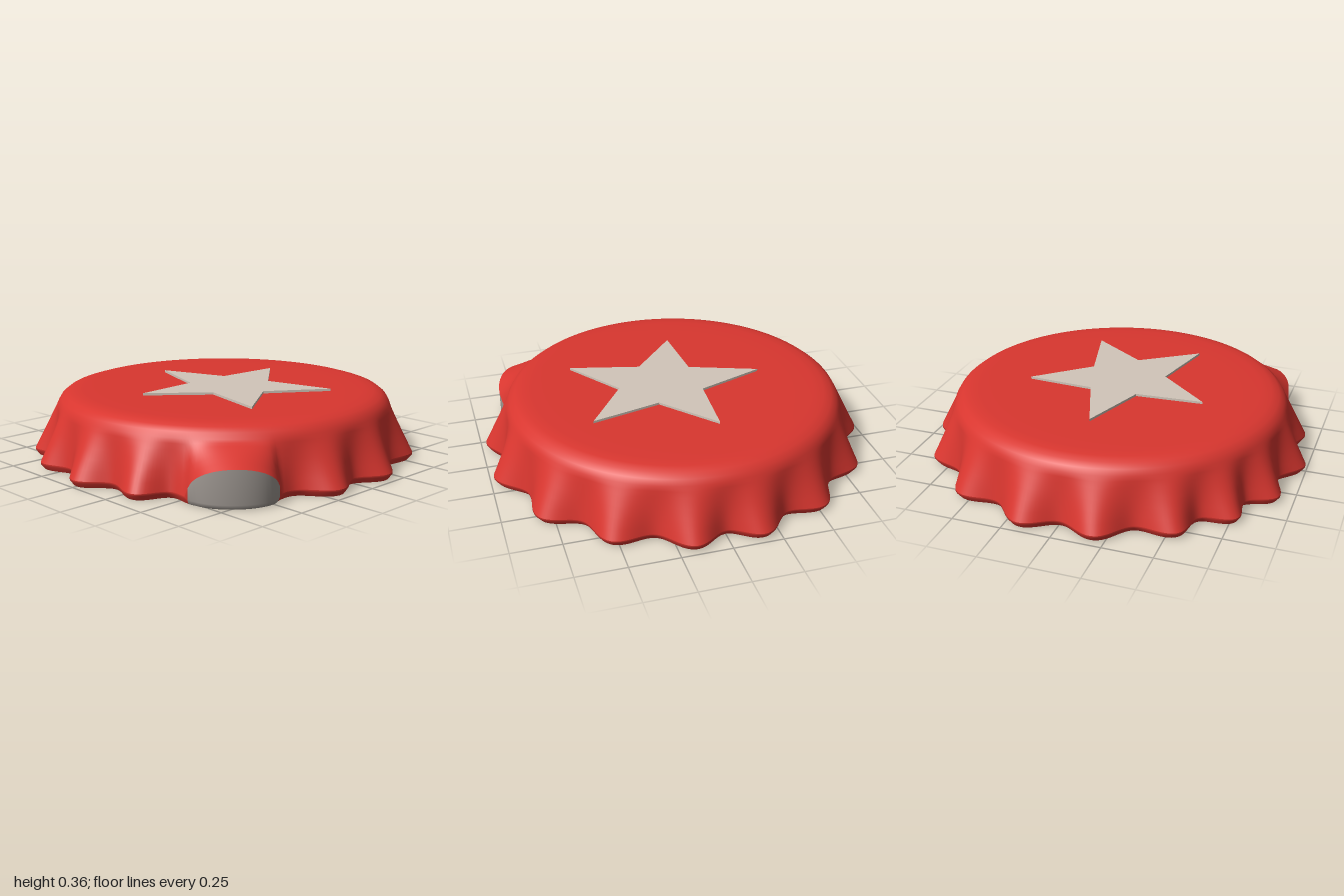
import * as THREE from 'three';

const red = new THREE.MeshStandardMaterial({ color: 0xd9362f });
red.name = 'red paint';
const cream = new THREE.MeshStandardMaterial({ color: 0xd2c6ba });
cream.name = 'cream';
const grey = new THREE.MeshStandardMaterial({ color: 0xa09993 });
grey.name = 'bare metal';

const SEG = 360;
const lerp = THREE.MathUtils.lerp;

// Slightly uneven flute crests, in degrees seen from above (0 = +x, 90 = back)
const crests = [10, 32, 56, 79.6, 101.7, 124, 142, 159, 180, 201, 219, 235, 258.4, 279.3, 304, 327, 350, 370];

// Bent flute: 1 in its middle, 0 outside it
const bend = (deg) => Math.sqrt(Math.max(0, 1 - ((deg - 228.5) / 13) ** 2));

// Radius of the crimped lower edge
function footRadius(deg) {
  const a = deg < 10 ? deg + 360 : deg;
  const i = crests.findIndex((c, k) => a >= c && a <= crests[k + 1]);
  const u = (a - crests[i]) / (crests[i + 1] - crests[i]);
  const r = 0.905 + 0.09 * (0.5 + 0.5 * Math.cos(u * Math.PI * 2));
  const b = bend(deg);
  return b > 0 ? Math.max(r, 0.92 + 0.12 * b) : r;
}

// Height of the lip above which the skirt slopes inward
const lipHeight = (deg) => 0.04 + 0.155 * bend(deg);

// Closed band of rings; each row maps degrees to [radius, height]
function band(name, rows, material, patch) {
  const positions = [];
  const index = [];
  const special = [];
  for (const row of rows) {
    for (let j = 0; j < SEG; j++) {
      const deg = (j * 360) / SEG;
      const t = THREE.MathUtils.degToRad(deg);
      const [r, y] = row(deg);
      positions.push(r * Math.cos(t), y, -r * Math.sin(t));
    }
  }
  for (let i = 0; i < rows.length - 1; i++) {
    for (let j = 0; j < SEG; j++) {
      const k = (j + 1) % SEG;
      const a = i * SEG + j, b = i * SEG + k;
      const target = patch && patch(((j + 0.5) * 360) / SEG) ? special : index;
      target.push(a, b, a + SEG, b, b + SEG, a + SEG);
    }
  }
  const geo = new THREE.BufferGeometry();
  geo.setAttribute('position', new THREE.Float32BufferAttribute(positions, 3));
  geo.setIndex([...index, ...special]);
  geo.addGroup(0, index.length, 0);
  geo.addGroup(index.length, special.length, 1);
  geo.computeVertexNormals();
  const mesh = new THREE.Mesh(geo, patch ? [material, grey] : material);
  mesh.name = name;
  return mesh;
}

export function createModel() {
  const cap = new THREE.Group();
  cap.name = 'bottleCap';

  // Flat underside
  const base = (d) => [footRadius(d) - 0.02, 0.005];
  cap.add(band('underside', [() => [0, 0.005], base], red));

  // Crimped lip, with worn metal on the bent flute
  const lip = (d) => [footRadius(d), lipHeight(d)];
  const lowLip = (d) => [footRadius(d), 0.03];
  cap.add(band('lip', [base, lowLip, lip], red, (d) => bend(d) > 0));

  // Fluted skirt fading into the round shoulder and top
  const skirt = [0, 0.2, 0.4, 0.6, 0.8, 0.92].map((t) => (d) => [
    lerp(footRadius(d), 0.87, t),
    lerp(lipHeight(d), 0.28, t),
  ]);
  const shoulder = [
    [0.868, 0.285], [0.852, 0.312], [0.825, 0.333], [0.785, 0.345],
    [0.73, 0.349], [0.6, 0.35], [0, 0.35],
  ].map((p) => () => p);
  cap.add(band('skirtAndTop', [...skirt, ...shoulder], red));

  // Raised star
  const star = new THREE.Shape();
  for (let i = 0; i < 10; i++) {
    const a = Math.PI / 2 + (i * Math.PI) / 5;
    const r = i % 2 ? 0.228 : 0.53;
    const x = r * 0.93 * Math.cos(a), y = r * Math.sin(a) - 0.06;
    if (i) star.lineTo(x, y);
    else star.moveTo(x, y);
  }
  star.closePath();
  const starMesh = new THREE.Mesh(new THREE.ExtrudeGeometry(star, { depth: 0.014, bevelEnabled: false }), cream);
  starMesh.name = 'star';
  starMesh.rotation.x = -Math.PI / 2;
  starMesh.position.y = 0.348;
  cap.add(starMesh);

  return cap;
}
